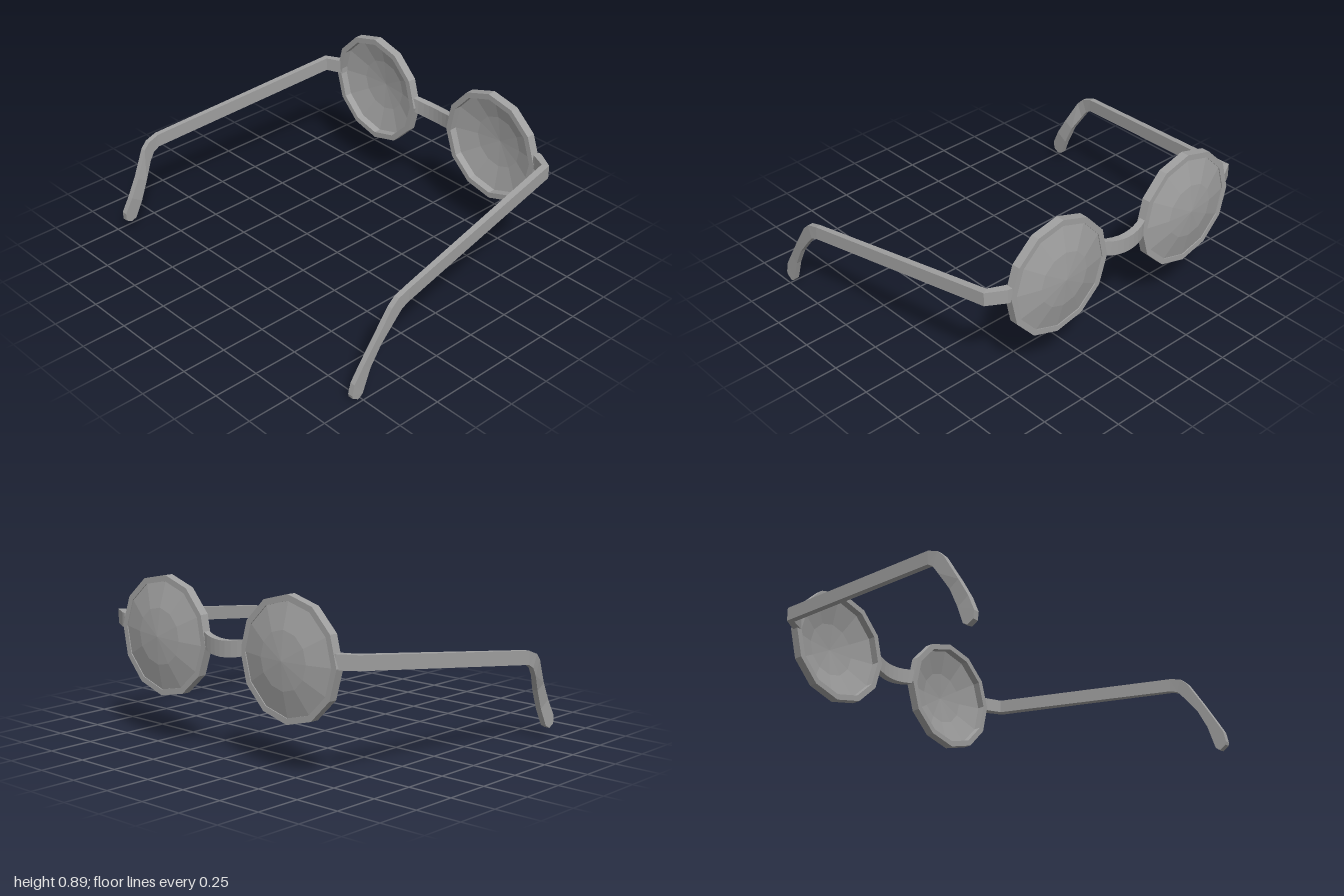
import * as THREE from 'three';

// Skin a run of four-cornered cross-sections, with both ends capped
function loft(sections, flip) {
  const pos = sections.flat(2);
  const index = [];
  const quad = (a, b, c, d) => flip
    ? index.push(a, c, b, a, d, c)
    : index.push(a, b, c, a, c, d);
  for (let i = 0; i < sections.length - 1; i++) {
    for (let k = 0; k < 4; k++) {
      const n = (k + 1) % 4;
      quad(i * 4 + k, i * 4 + n, i * 4 + 4 + n, i * 4 + 4 + k);
    }
  }
  const e = (sections.length - 1) * 4;
  quad(3, 2, 1, 0);
  quad(e, e + 1, e + 2, e + 3);
  const g = new THREE.BufferGeometry();
  g.setAttribute('position', new THREE.Float32BufferAttribute(pos, 3));
  g.setIndex(index);
  g.computeVertexNormals();
  return g;
}

// Twelve-sided ring or dome about the z axis; profile points are (radius, z)
function turned(points) {
  const g = new THREE.LatheGeometry(points.map(p => new THREE.Vector2(...p)), 12);
  return g.rotateX(Math.PI / 2);
}

export function createModel() {
  const model = new THREE.Group();
  const frameGrey = new THREE.MeshStandardMaterial({ color: 0xa0a0a0, flatShading: true });
  frameGrey.name = 'frameGrey';
  const lensGrey = new THREE.MeshStandardMaterial({ color: 0xa0a0a0, flatShading: true, side: THREE.DoubleSide });
  lensGrey.name = 'lensGrey';
  const add = (parent, name, geometry, material) => {
    const mesh = new THREE.Mesh(geometry, material);
    mesh.name = name;
    parent.add(mesh);
  };

  // Rims with domed lenses
  const rim = turned([[0.285, -0.024], [0.317, -0.024], [0.317, 0.024], [0.285, 0.024], [0.285, -0.024]]);
  const lens = turned([[0, -0.066], [0.15, -0.052], [0.288, -0.018]]);
  for (const [name, x, roll] of [['leftEyepiece', 0.428, 0.058], ['rightEyepiece', -0.457, 0]]) {
    const eye = new THREE.Group();
    eye.name = name;
    eye.position.set(x, 0.574, -0.736);
    eye.rotation.set(0.016, 0, roll);
    add(eye, 'rim', rim, frameGrey);
    add(eye, 'lens', lens, lensGrey);
    model.add(eye);
  }

  // Nose bridge, bowed outward and sagging slightly
  const bridge = [];
  for (let i = 0; i <= 8; i++) {
    const t = i / 4 - 1, arch = 1 - t * t;
    const x = -0.018 + 0.142 * t, z = -0.72 - 0.025 * arch, y = 0.592 - 0.018 * arch;
    const d = 0.035 + 0.006 * arch;
    bridge.push([[x, y + 0.042, z], [x, y + 0.042, z - d], [x, y - 0.042, z - d], [x, y - 0.042, z]]);
  }
  add(model, 'bridge', loft(bridge, true), frameGrey);

  // Hinge and straight part of each arm, then its own ear hook
  // Rows: outer x, inner x, z step to inner face, top z, top y, bottom z, bottom y
  const straight = [
    [0.735, 0.735, 0.042, -0.757, 0.655, -0.757, 0.578],
    [0.76, 0.75, 0.042, -0.752, 0.655, -0.752, 0.578],
    [0.86, 0.826, 0.02, -0.695, 0.655, -0.695, 0.58],
    [0.998, 0.968, 0, 0.455, 0.511, 0.455, 0.437],
  ];
  const leftHook = [
    [1.0, 0.97, 0, 0.525, 0.49, 0.5, 0.42],
    [0.998, 0.968, 0, 0.567, 0.45, 0.54, 0.375],
    [0.992, 0.962, 0, 0.665, 0.3, 0.63, 0.265],
    [0.985, 0.956, 0, 0.735, 0.19, 0.69, 0.155],
    [0.981, 0.952, 0, 0.79, 0.1, 0.735, 0.025],
    [0.98, 0.951, 0, 0.804, 0.04, 0.75, 0.008],
    [0.98, 0.951, 0, 0.8, 0.022, 0.765, 0.001],
  ];
  const rightHook = [
    [1.0, 0.97, 0, 0.52, 0.485, 0.49, 0.415],
    [0.995, 0.965, 0, 0.555, 0.45, 0.52, 0.37],
    [0.972, 0.938, 0, 0.63, 0.31, 0.575, 0.277],
    [0.965, 0.932, 0, 0.685, 0.21, 0.62, 0.17],
    [0.972, 0.94, 0, 0.728, 0.12, 0.66, 0.073],
    [0.974, 0.943, 0, 0.725, 0.075, 0.69, 0.056],
  ];
  for (const [name, side, hook, drop] of [['leftArm', 1, leftHook, 0], ['rightArm', -1, rightHook, 0.01]]) {
    const sections = [...straight, ...hook].map(([xo, xi, dz, tz, ty, bz, by], i) => {
      const d = i < 3 ? drop : 0;
      return [
        [side * xo, ty - d, tz], [side * xi, ty - d, tz + dz],
        [side * xi, by - d, bz + dz], [side * xo, by - d, bz],
      ];
    });
    add(model, name, loft(sections, side < 0), frameGrey);
  }
  return model;
}
